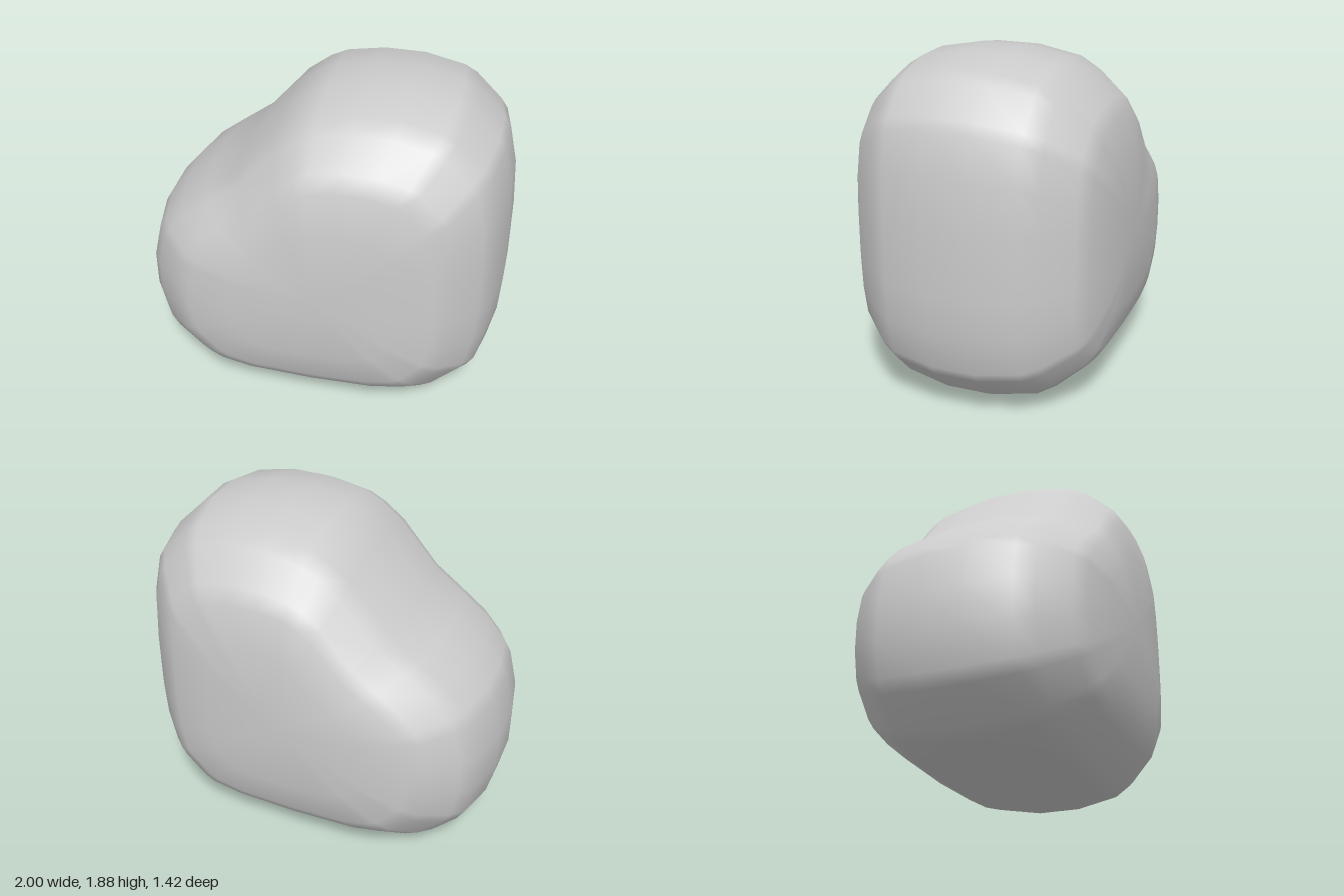
import * as THREE from 'three';

// Widest outline (x, y), clockwise seen from the front: low hump on the right, tall back on the left
const OUTLINE = [
  [0, 0], [-0.47, 0.015], [-0.68, 0.06], [-0.76, 0.1], [-0.91, 0.25], [-0.955, 0.32],
  [-1, 0.52], [-1, 0.74], [-0.95, 0.96], [-0.91, 1.03], [-0.8, 1.16], [-0.64, 1.285],
  [-0.46, 1.42], [-0.23, 1.69], [-0.1, 1.79], [0, 1.84], [0.22, 1.88], [0.45, 1.88],
  [0.68, 1.83], [0.75, 1.79], [0.9, 1.64], [0.94, 1.58], [0.985, 1.37], [1, 1.1],
  [1, 0.75], [0.985, 0.52], [0.94, 0.31], [0.9, 0.25], [0.75, 0.1], [0.68, 0.06], [0.45, 0.015],
].reverse();

// Depth of each cross-section and how far the outline shrinks there
const SECTIONS = [
  [0.12, 1], [0.36, 0.953], [0.455, 0.895], [0.6, 0.758], [0.65, 0.67], [0.7, 0.445], [0.71, 0.13],
];
const CENTRE = [0.05, 0.87];

function roundedBody() {
  const rings = [
    ...SECTIONS.map(([z, s]) => [-z, s]).reverse(),
    ...SECTIONS,
  ];
  const n = OUTLINE.length;
  const positions = [];
  const index = [];
  for (const [z, s] of rings) {
    for (const [x, y] of OUTLINE) {
      positions.push(CENTRE[0] + (x - CENTRE[0]) * s, CENTRE[1] + (y - CENTRE[1]) * s, z);
    }
  }
  // Skin between neighbouring sections
  for (let r = 0; r < rings.length - 1; r++) {
    for (let i = 0; i < n; i++) {
      const a = r * n + i;
      const b = r * n + (i + 1) % n;
      index.push(a, b, b + n, a, b + n, a + n);
    }
  }
  // Close the back and front with shallow fans
  const back = positions.length / 3;
  positions.push(...CENTRE, -0.712, ...CENTRE, 0.712);
  const last = (rings.length - 1) * n;
  for (let i = 0; i < n; i++) {
    const j = (i + 1) % n;
    index.push(back, j, i, back + 1, last + i, last + j);
  }
  const geometry = new THREE.BufferGeometry();
  geometry.setAttribute('position', new THREE.Float32BufferAttribute(positions, 3));
  geometry.setIndex(index);
  geometry.computeVertexNormals();
  return geometry;
}

export function createModel() {
  const group = new THREE.Group();
  group.name = 'roundedBoulder';
  const grey = new THREE.MeshStandardMaterial({ color: 0xcccccc });
  grey.name = 'light grey';
  const body = new THREE.Mesh(roundedBody(), grey);
  body.name = 'body';
  group.add(body);
  return group;
}
